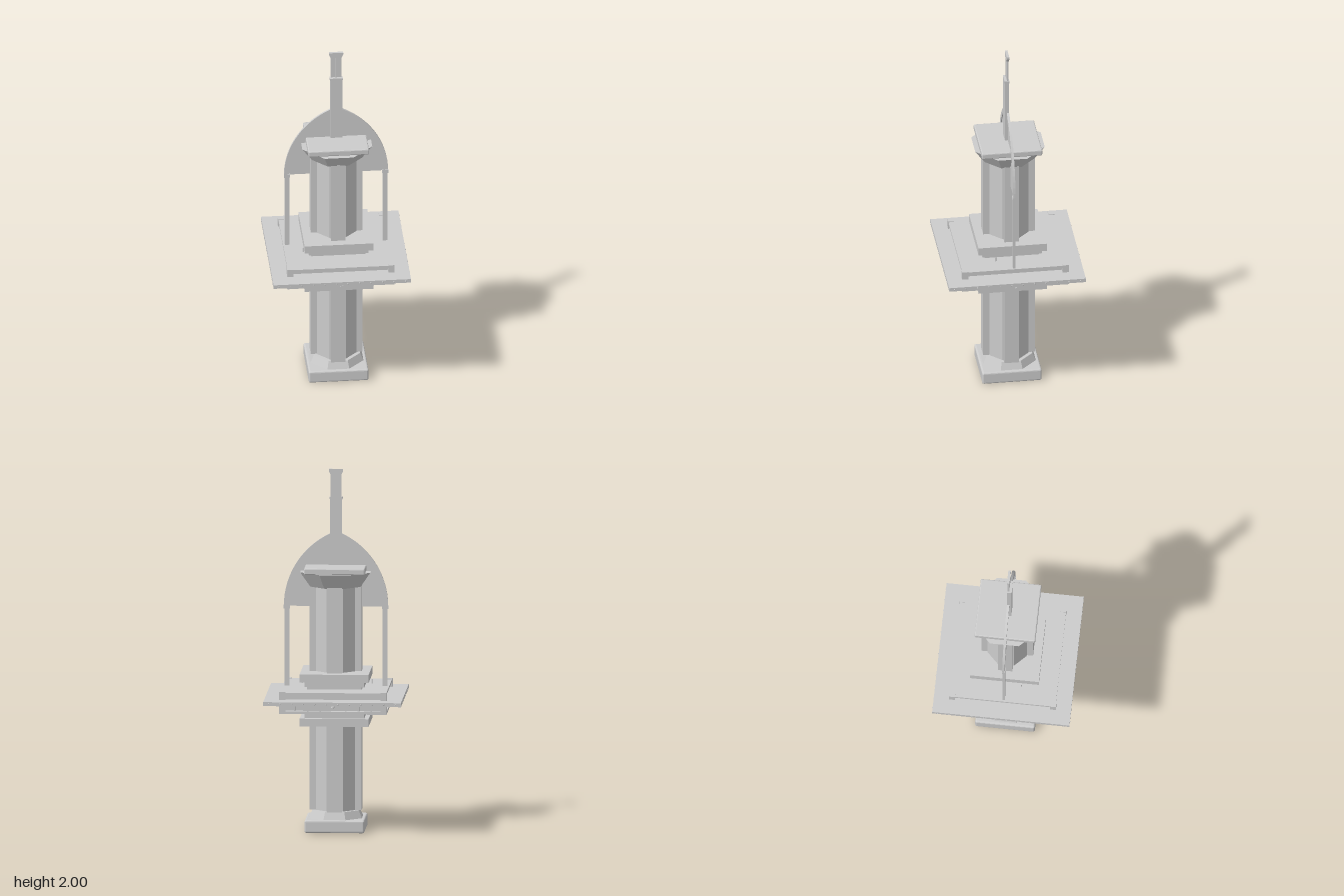
import * as THREE from 'three';
import { RoundedBoxGeometry } from 'three/addons/geometries/RoundedBoxGeometry.js';

export function createModel() {
  const model = new THREE.Group();
  const stone = new THREE.MeshStandardMaterial({ color: 0xcccccc, flatShading: true });
  stone.name = 'pale stone';

  function add(name, geometry, x = 0, y = 0, z = 0, parent = model) {
    const mesh = new THREE.Mesh(geometry, stone);
    mesh.name = name;
    mesh.position.set(x, y, z);
    parent.add(mesh);
    return mesh;
  }
  // Box given by its limits
  const box = (name, x0, x1, y0, y1, z0, z1, parent) =>
    add(name, new THREE.BoxGeometry(x1 - x0, y1 - y0, z1 - z0), (x0 + x1) / 2, (y0 + y1) / 2, (z0 + z1) / 2, parent);
  // Square slab centred on the axis
  const slab = (name, half, y0, y1) => box(name, -half, half, y0, y1, -half, half);
  // Tapered octagon with flat sides on the axes
  function octagon(name, bottom, top, y0, y1) {
    const k = 1 / Math.cos(Math.PI / 8);
    const g = new THREE.CylinderGeometry(top * k, bottom * k, y1 - y0, 8);
    g.rotateY(Math.PI / 8);
    add(name, g, 0, (y0 + y1) / 2, 0);
  }
  // Octagonal shaft with a pilaster on each axis
  function shaft(name, y0, y1) {
    const pts = [];
    for (let i = 0; i < 4; i++) {
      const c = Math.round(Math.cos(i * Math.PI / 2)), s = Math.round(Math.sin(i * Math.PI / 2));
      for (const [u, v] of [[0.108, -0.045], [0.108, -0.04], [0.143, -0.04], [0.143, 0.04], [0.108, 0.04], [0.108, 0.045]])
        pts.push(new THREE.Vector2(u * c - v * s, u * s + v * c));
    }
    const g = new THREE.ExtrudeGeometry(new THREE.Shape(pts), { depth: y1 - y0, bevelEnabled: false });
    g.rotateX(-Math.PI / 2);
    add(name, g, 0, y0, 0);
  }

  // Foot and column
  add('base', new RoundedBoxGeometry(0.33, 0.07, 0.33, 2, 0.01), 0, 0.037, 0);
  octagon('footMoulding', 0.147, 0.128, 0.07, 0.115);
  shaft('lowerShaft', 0.115, 0.6);
  slab('lowerCollar', 0.19, 0.597, 0.64);
  slab('lowerNeck', 0.165, 0.64, 0.665);
  slab('lowerStep', 0.15, 0.665, 0.682);

  // Balcony
  slab('balconyFloor', 0.295, 0.68, 0.695);
  slab('balconyCore', 0.265, 0.69, 0.79);
  slab('balconyTop', 0.293, 0.785, 0.798);
  slab('balconyLedge', 0.379, 0.735, 0.757);
  for (const sx of [-1, 1]) for (const sz of [-1, 1])
    add('cornerPost', new THREE.BoxGeometry(0.034, 0.122, 0.034), sx * 0.279, 0.741, sz * 0.279);

  // Studs, brackets and spouts repeated on the four sides
  for (let side = 0; side < 4; side++) {
    const group = new THREE.Group();
    group.name = 'balconySide';
    group.rotation.y = side * Math.PI / 2;
    model.add(group);
    for (let i = 0; i < 12; i++)
      add('ledgeStud', new THREE.SphereGeometry(0.004, 6, 4), (i - 5.5) * 0.0635, 0.746, 0.379, group);
    for (const x of [-0.21, -0.14, -0.07, 0.07, 0.14, 0.21])
      box('panelRib', x - 0.004, x + 0.004, 0.695, 0.735, 0.262, 0.285, group);
    const spout = new THREE.CylinderGeometry(0.009, 0.009, 0.1, 8);
    spout.rotateX(Math.PI / 2);
    add('spout', spout, 0, 0.72, 0.32, group);
  }
  for (const sx of [-1, 1])
    add('pin', new THREE.CylinderGeometry(0.003, 0.003, 0.025, 6), sx * 0.192, 0.81, 0.095);

  // Upper column and capital
  slab('upperStep', 0.15, 0.795, 0.815);
  slab('upperNeck', 0.165, 0.812, 0.842);
  slab('upperCollar', 0.19, 0.84, 0.885);
  shaft('upperShaft', 0.885, 1.36);
  octagon('capital', 0.138, 0.193, 1.355, 1.437);
  add('abacus', new RoundedBoxGeometry(0.335, 0.034, 0.335, 1, 0.006), 0, 1.452, 0);

  // Pointed arch: thin panel with a raised rim
  const cx = 0.159, base = 1.24;
  function archPoints(radius) {
    const end = Math.acos(cx / radius), right = [];
    for (let i = 0; i <= 16; i++) {
      const a = end * i / 16;
      right.push(new THREE.Vector2(radius * Math.cos(a) - cx, base + radius * Math.sin(a)));
    }
    const left = right.slice(0, -1).reverse().map(p => new THREE.Vector2(-p.x, p.y));
    return right.concat(left);
  }
  const outer = archPoints(0.446), inner = archPoints(0.419);
  const extrude = (pts, depth) =>
    new THREE.ExtrudeGeometry(new THREE.Shape(pts), { depth, bevelEnabled: false });
  add('archPanel', extrude(outer, 0.008), 0, 0, -0.002);
  add('archRim', extrude(outer.concat(inner.reverse()), 0.012), 0, 0, -0.001);
  for (const s of [-1, 1]) {
    add('archPost', new THREE.BoxGeometry(0.026, 0.45, 0.013), s * 0.27, 1.015, 0.0055);
    add('archPostCap', new THREE.BoxGeometry(0.034, 0.02, 0.016), s * 0.271, 1.235, 0.006);
  }

  // Spire
  box('spireShaft', -0.033, 0.033, 1.465, 1.835, -0.002, 0.022);
  box('spireShoulder', -0.036, 0.036, 1.833, 1.845, -0.003, 0.024);
  box('spireTop', -0.028, 0.028, 1.845, 1.975, 0, 0.006);
  for (const x of [-0.024, 0, 0.024])
    box('spireRib', x - 0.005, x + 0.005, 1.845, 1.975, 0, 0.01);
  add('spireCap', extrude([[-0.03, 1.968], [0.03, 1.968], [0.039, 1.988], [0.039, 2], [-0.039, 2], [-0.039, 1.988]]
    .map(p => new THREE.Vector2(...p)), 0.014), 0, 0, -0.002);

  return model;
}
